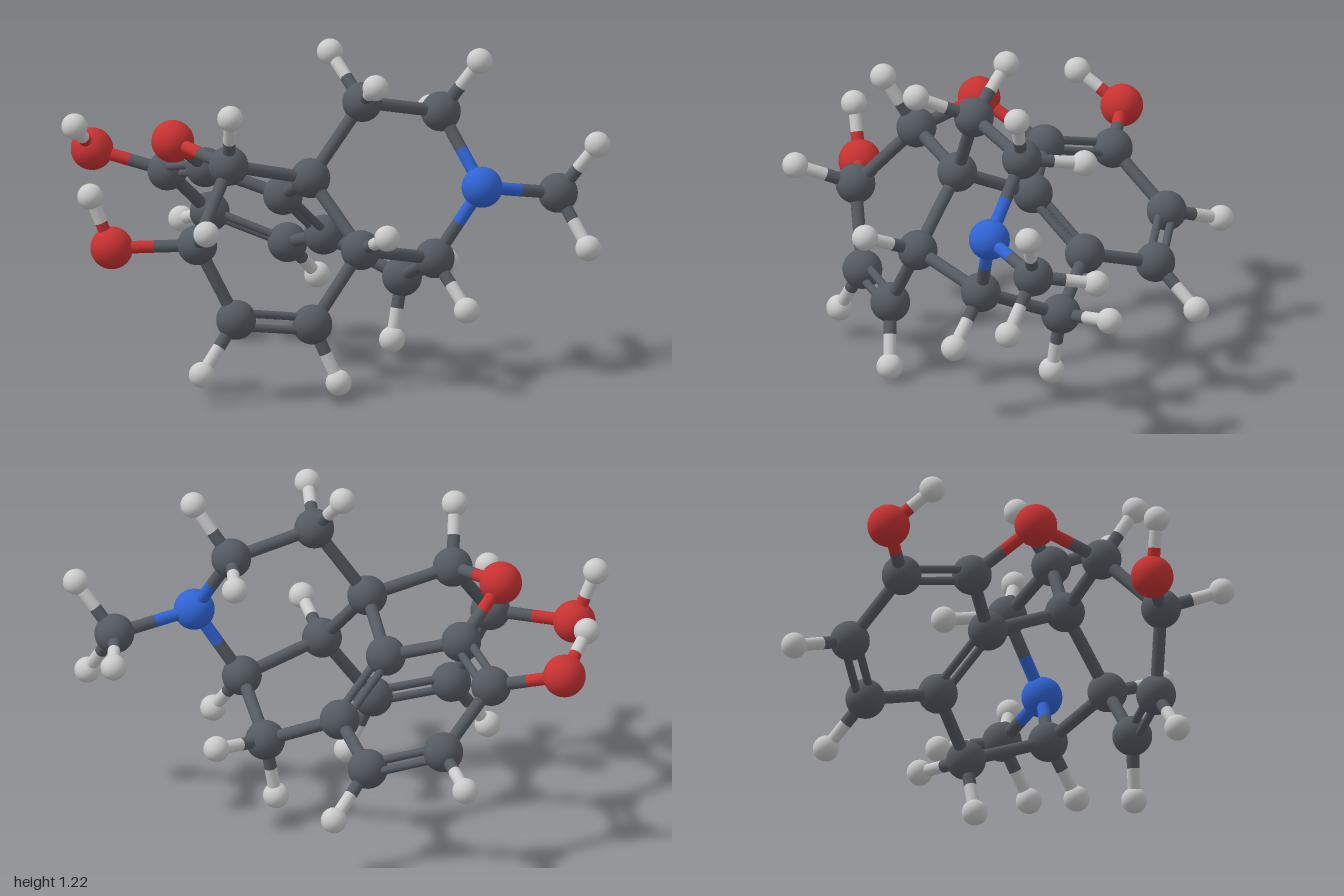
import * as THREE from 'three';

// Element styles: colour and ball radius
const ELEMENTS = {
  C: { name: 'carbon', color: 0x555b62, radius: 0.072 },
  H: { name: 'hydrogen', color: 0xe0e0e0, radius: 0.047 },
  O: { name: 'oxygen', color: 0xc83232, radius: 0.077 },
  N: { name: 'nitrogen', color: 0x3064d4, radius: 0.074 },
};

// Heavy atoms: label (first letter is the element) and centre
const HEAVY = {
  // aromatic ring
  C1: [-0.22, 0.365, -0.55], C2: [-0.505, 0.465, -0.575], C3: [-0.635, 0.655, -0.373],
  C4: [-0.47, 0.72, -0.137], C12: [-0.185, 0.63, -0.11], C11: [-0.06, 0.447, -0.305],
  // lower ring with the alkene
  C5: [-0.333, 0.822, 0.318], C6: [-0.42, 0.575, 0.543], C7: [-0.283, 0.297, 0.51],
  C8: [-0.02, 0.262, 0.395], C14: [0.143, 0.517, 0.287], C13: [-0.055, 0.75, 0.155],
  // bridge and amine ring
  C9: [0.383, 0.443, 0.045], C10: [0.232, 0.315, -0.235], C15: [0.125, 1.02, 0.085],
  C16: [0.388, 0.953, -0.103], N1: [0.55, 0.7, 0.005], C17: [0.805, 0.65, -0.168],
  // oxygens
  O1: [-0.91, 0.725, -0.39], O2: [-0.56, 0.863, 0.105], O3: [-0.73, 0.558, 0.545],
};

// Hydrogens: parent atom and centre
const HYDROGENS = [
  ['C1', -0.13, 0.217, -0.703], ['C2', -0.63, 0.398, -0.763], ['C5', -0.313, 1.02, 0.437],
  ['C6', -0.362, 0.66, 0.757], ['C7', -0.397, 0.11, 0.6], ['C8', 0.075, 0.05, 0.392],
  ['C14', 0.26, 0.6, 0.47], ['C9', 0.51, 0.272, 0.135],
  ['C10', 0.2, 0.09, -0.2], ['C10', 0.37, 0.338, -0.418],
  ['C15', -0.005, 1.18, -0.025], ['C15', 0.197, 1.115, 0.29],
  ['C16', 0.53, 1.143, -0.093], ['C16', 0.323, 0.92, -0.325],
  ['C17', 0.95, 0.833, -0.157], ['C17', 0.925, 0.466, -0.083], ['C17', 0.756, 0.61, -0.393],
  ['O1', -0.955, 0.84, -0.227], ['O3', -0.805, 0.75, 0.57],
];

const SINGLE = ['C2-C3', 'C4-C12', 'C1-C11', 'C3-O1', 'C4-O2', 'O2-C5', 'C5-C13', 'C5-C6',
  'C6-O3', 'C6-C7', 'C8-C14', 'C14-C13', 'C13-C12', 'C14-C9', 'C9-C10', 'C10-C11',
  'C13-C15', 'C15-C16', 'C16-N1', 'N1-C9', 'N1-C17'];

const AROMATIC = ['C1', 'C2', 'C3', 'C4', 'C12', 'C11'];
const ALKENE_RING = ['C5', 'C6', 'C7', 'C8', 'C14', 'C13'];
const DOUBLE = [['C1-C2', AROMATIC], ['C3-C4', AROMATIC], ['C11-C12', AROMATIC], ['C7-C8', ALKENE_RING]];

const UP = new THREE.Vector3(0, 1, 0);

export function createModel() {
  const model = new THREE.Group();
  model.name = 'moleculeModel';
  const atoms = new THREE.Group();
  atoms.name = 'atoms';
  const bonds = new THREE.Group();
  bonds.name = 'bonds';
  model.add(atoms, bonds);

  const materials = {}, balls = {}, pos = {};
  for (const [e, { color, radius }] of Object.entries(ELEMENTS)) {
    materials[e] = new THREE.MeshStandardMaterial({ color });
    balls[e] = new THREE.SphereGeometry(radius, 32, 20);
  }
  const rod = new THREE.CylinderGeometry(1, 1, 1, 16, 1);

  function addAtom(label, xyz) {
    const e = label[0];
    const ball = new THREE.Mesh(balls[e], materials[e]);
    ball.name = ELEMENTS[e].name + 'Atom';
    ball.position.set(...xyz);
    pos[label] = ball.position;
    atoms.add(ball);
  }

  // A rod in two halves, each in the colour of its own atom
  function addBond(a, b, radius = 0.023, offset = new THREE.Vector3()) {
    const mid = pos[a].clone().add(pos[b]).multiplyScalar(0.5);
    for (const label of [a, b]) {
      const dir = mid.clone().sub(pos[label]);
      const half = new THREE.Mesh(rod, materials[label[0]]);
      half.name = ELEMENTS[label[0]].name + 'HalfBond';
      half.scale.set(radius, dir.length(), radius);
      half.position.copy(pos[label]).add(mid).multiplyScalar(0.5).add(offset);
      half.quaternion.setFromUnitVectors(UP, dir.normalize());
      bonds.add(half);
    }
  }

  // Atoms, then the hydrogens with their bonds
  for (const [label, xyz] of Object.entries(HEAVY)) addAtom(label, xyz);
  HYDROGENS.forEach(([parent, ...xyz], i) => {
    addAtom('H' + i, xyz);
    addBond(parent, 'H' + i);
  });

  for (const pair of SINGLE) addBond(...pair.split('-'));

  // Double bonds: two thin rods side by side in the plane of their ring
  for (const [pair, ring] of DOUBLE) {
    const [a, b] = pair.split('-');
    const centre = new THREE.Vector3();
    for (const label of ring) centre.addScaledVector(pos[label], 1 / ring.length);
    const along = pos[b].clone().sub(pos[a]).normalize();
    const side = centre.sub(pos[a]);
    side.addScaledVector(along, -side.dot(along)).normalize();
    for (const s of [-1, 1]) addBond(a, b, 0.015, side.clone().multiplyScalar(s * 0.025));
  }
  return model;
}
